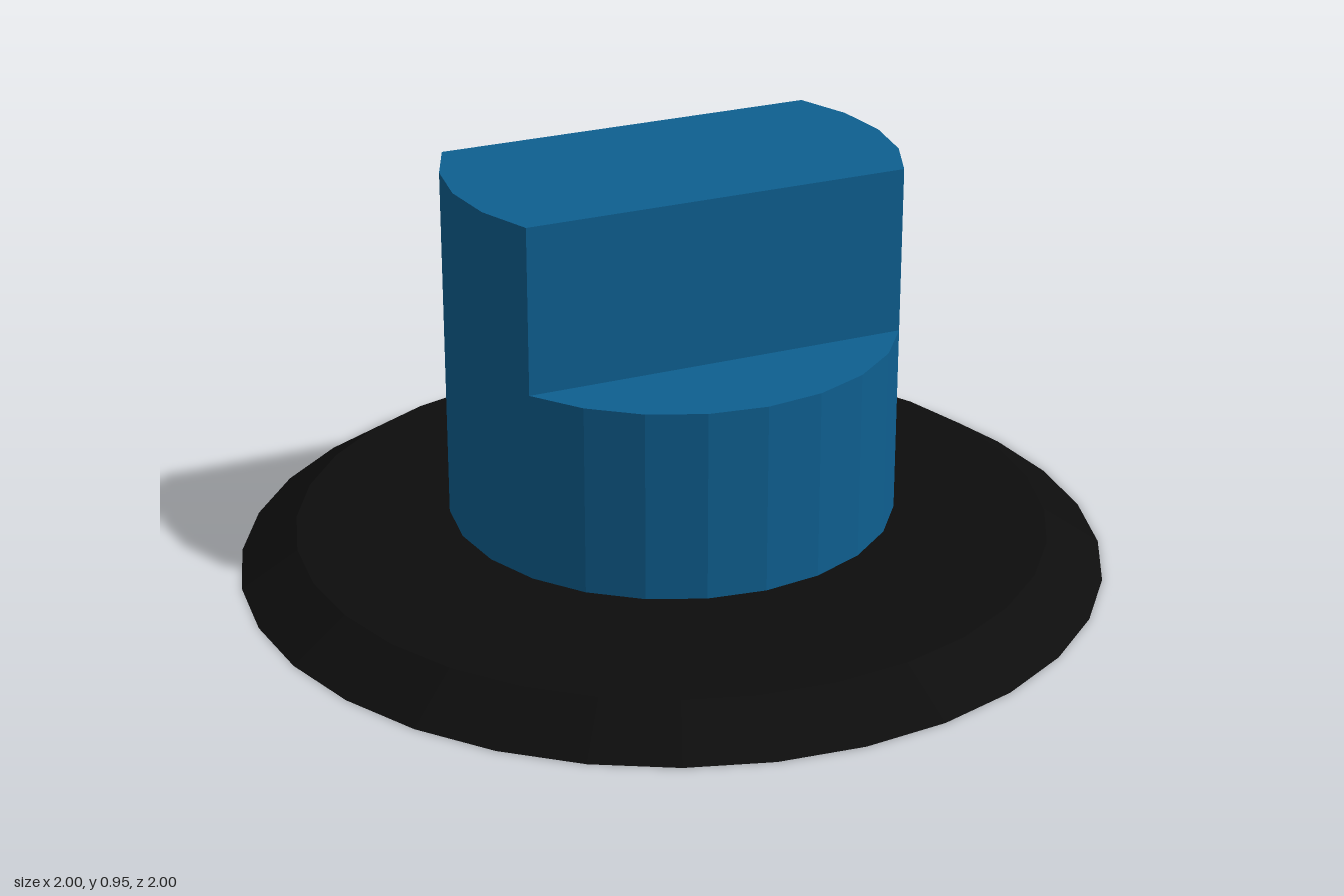
import * as THREE from 'three';

const BASE_TOP = 0.085, DRUM_BOTTOM = 0.13, DRUM_TOP = 0.57, GRIP_TOP = 0.955;
const KNOB_RADIUS = 0.515, KNOB_SIDES = 24;

export function createModel() {
  const group = new THREE.Group();
  const blue = new THREE.MeshStandardMaterial({ color: 0x0e5f90, flatShading: true });
  const black = new THREE.MeshStandardMaterial({ color: 0x0d0d0d, flatShading: true });

  const add = (name, geometry, material, y) => {
    const mesh = new THREE.Mesh(geometry, material);
    mesh.name = name;
    mesh.position.y = y;
    group.add(mesh);
  };
  const addDisc = (name, topRadius, bottomRadius, y0, y1, sides, material, open = false) =>
    add(name, new THREE.CylinderGeometry(topRadius, bottomRadius, y1 - y0, sides, 1, open), material, (y0 + y1) / 2);

  // Bevelled base plate, short neck and round knob body
  addDisc('basePlate', 0.87, 1, 0, BASE_TOP, 32, black);
  addDisc('neck', 0.28, 0.28, BASE_TOP, DRUM_BOTTOM, KNOB_SIDES, black, true);
  addDisc('knobBody', KNOB_RADIUS, KNOB_RADIUS, DRUM_BOTTOM, DRUM_TOP, KNOB_SIDES, blue);

  // Grip bar: the two side arcs of the knob's outline joined by flat faces
  const outline = [];
  for (const start of [-2, 10]) {
    for (let i = 0; i <= 4; i++) {
      const angle = ((start + i) / KNOB_SIDES) * Math.PI * 2;
      outline.push(new THREE.Vector2(Math.cos(angle) * KNOB_RADIUS, Math.sin(angle) * KNOB_RADIUS));
    }
  }
  const grip = new THREE.ExtrudeGeometry(new THREE.Shape(outline), {
    depth: GRIP_TOP - DRUM_TOP, bevelEnabled: false,
  });
  grip.rotateX(-Math.PI / 2);
  add('gripBar', grip, blue, DRUM_TOP);

  return group;
}
